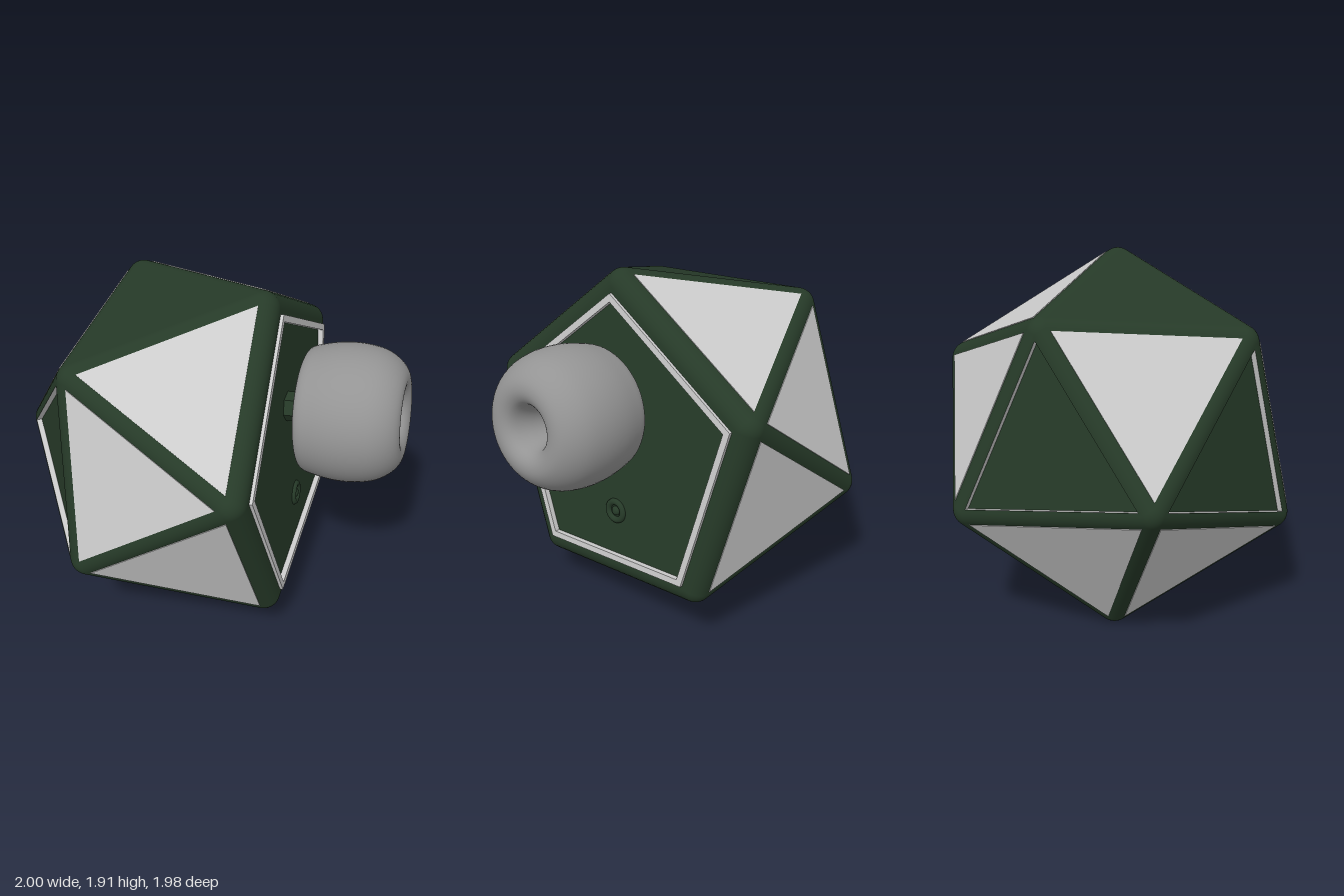
import * as THREE from 'three';

const GREEN = 0x263a28, GREY = 0xcccccc, KNOB = 0x949494;
const ROUND = 0.09, RADIUS = 0.93;           // edge rounding, corner distance
const CENTRE = new THREE.Vector3(-0.065, 0.965, 0);

const mat = (color, extra = {}) => new THREE.MeshStandardMaterial({ color, ...extra });
const mix = (a, b, t) => a.clone().lerp(b, t);
const along = (p, n, d) => p.clone().addScaledVector(n, d);

function mesh(name, geometry, material) {
  const m = new THREE.Mesh(geometry, material);
  m.name = name;
  return m;
}

// Collects triangles, turning each one to agree with its normals
class Surface {
  constructor() { this.pos = []; this.nor = []; }
  tri(a, b, c, na, nb = na, nc = na) {
    const cross = b.clone().sub(a).cross(c.clone().sub(a));
    if (cross.dot(na) < 0) [b, c, nb, nc] = [c, b, nc, nb];
    for (const p of [a, b, c]) this.pos.push(p.x, p.y, p.z);
    for (const n of [na, nb, nc]) this.nor.push(n.x, n.y, n.z);
  }
  quad(a, b, c, d, na, nb = na, nc = na, nd = na) {
    this.tri(a, b, c, na, nb, nc);
    this.tri(a, c, d, na, nc, nd);
  }
  polygon(pts, n) {
    for (let i = 1; i < pts.length - 1; i++) this.tri(pts[0], pts[i], pts[i + 1], n);
  }
  ring(outer, inner, n) {
    outer.forEach((p, i) => {
      const j = (i + 1) % outer.length;
      this.quad(p, outer[j], inner[j], inner[i], n);
    });
  }
  // side walls between two loops, facing in (sign -1) or out (sign 1)
  walls(top, bottom, sign) {
    const mid = top.reduce((s, p) => s.add(p), new THREE.Vector3()).divideScalar(top.length);
    top.forEach((p, i) => {
      const j = (i + 1) % top.length;
      const n = mix(p, top[j], 0.5).sub(mid).normalize().multiplyScalar(sign);
      this.quad(p, top[j], bottom[j], bottom[i], n);
    });
  }
  build() {
    const g = new THREE.BufferGeometry();
    g.setAttribute('position', new THREE.Float32BufferAttribute(this.pos, 3));
    g.setAttribute('normal', new THREE.Float32BufferAttribute(this.nor, 3));
    return g;
  }
}

export function createModel() {
  const model = new THREE.Group();
  model.name = 'facetedBodyWithKnob';

  // Tilted icosahedron: axis n goes through the corner that is cut off
  const n = new THREE.Vector3(0.907, 0.1, 0.408).normalize();
  const u = new THREE.Vector3(-0.1235, 0.992, 0.0295);
  u.addScaledVector(n, -u.dot(n)).normalize();
  const w = n.clone().cross(u);
  const corner = { G: n.clone().multiplyScalar(-RADIUS) };
  ['AF', 'CK', 'EJ', 'HB', 'ID'].forEach(([near, far], k) => {
    const a = k * Math.PI * 2 / 5, s = 2 / Math.sqrt(5);
    const d = n.clone().multiplyScalar(1 / Math.sqrt(5))
      .addScaledVector(u, s * Math.cos(a)).addScaledVector(w, s * Math.sin(a));
    corner[near] = d.clone().multiplyScalar(RADIUS);
    corner[far] = d.multiplyScalar(-RADIUS);
  });

  const kinds = {
    panel: ['ABC', 'CDE', 'EFH', 'HIK', 'IAJ', 'BCD', 'KIJ', 'GDF', 'GFK', 'GJB'],
    plain: ['ABJ', 'DEF', 'HKF'],
    recess: ['GBD', 'GKJ'],
    front: ['ACEHI'],
  };
  const faces = [];
  for (const [kind, list] of Object.entries(kinds)) for (const key of list) {
    const pts = [...key].map(c => corner[c]);
    const normal = pts[1].clone().sub(pts[0]).cross(pts[2].clone().sub(pts[0])).normalize();
    if (normal.dot(pts[0]) < 0) normal.negate();
    const mid = pts.reduce((s, p) => s.add(p), new THREE.Vector3()).divideScalar(pts.length);
    // outline of the face scaled about its middle and lifted by h
    const loop = (scale, h) => pts.map(p => along(mix(mid, p, scale), normal, ROUND + h));
    faces.push({ kind, key, normal, loop });
  }

  const body = new Surface(), panels = new Surface(), liners = new Surface(), rim = new Surface();

  // Flat faces, inset panels, recesses and the raised front rim
  for (const { kind, normal, loop } of faces) {
    if (kind === 'panel' || kind === 'plain') body.polygon(loop(1, 0), normal);
    if (kind === 'panel') {
      panels.polygon(loop(0.955, 0.004), normal);
      panels.walls(loop(0.955, 0.004), loop(0.955, -0.004), 1);
    }
    if (kind === 'recess') {
      body.ring(loop(1, 0), loop(0.955, 0), normal);
      body.polygon(loop(0.955, -0.03), normal);
      liners.walls(loop(0.955, 0), loop(0.955, -0.03), -1);
    }
    if (kind === 'front') {
      body.ring(loop(1, 0), loop(0.917, 0), normal);
      body.polygon(loop(0.917, -0.012), normal);
      rim.ring(loop(0.968, 0.017), loop(0.917, 0.017), normal);
      rim.walls(loop(0.968, 0.017), loop(0.968, 0), 1);
      rim.walls(loop(0.917, 0.017), loop(0.917, -0.012), -1);
    }
  }

  // Rounded edges and rounded corners
  const STEPS = 6;
  const capCentre = {};
  for (const c in corner) {
    capCentre[c] = faces.filter(f => f.key.includes(c))
      .reduce((s, f) => s.add(f.normal), new THREE.Vector3()).normalize();
  }
  faces.forEach((f, i) => faces.slice(i + 1).forEach(g => {
    const shared = [...f.key].filter(c => g.key.includes(c));
    if (shared.length !== 2) return;
    const [P, Q] = shared.map(c => corner[c]);
    for (let s = 0; s < STEPS; s++) {
      const n0 = mix(f.normal, g.normal, s / STEPS).normalize();
      const n1 = mix(f.normal, g.normal, (s + 1) / STEPS).normalize();
      body.quad(along(P, n0, ROUND), along(Q, n0, ROUND), along(Q, n1, ROUND), along(P, n1, ROUND),
        n0, n0, n1, n1);
      // sector of the ball at each end, from the edge in to the cap centre
      for (const c of shared) for (let t = 0; t < STEPS; t++) {
        const [a, b, d, e] = [[n0, t], [n1, t], [n1, t + 1], [n0, t + 1]]
          .map(([v, k]) => mix(v, capCentre[c], k / STEPS).normalize());
        const at = v => along(corner[c], v, ROUND);
        body.tri(at(a), at(b), at(d), a, b, d);
        if (t < STEPS - 1) body.tri(at(a), at(d), at(e), a, d, e);
      }
    }
  }));

  const shell = new THREE.Group();
  shell.name = 'shell';
  shell.position.copy(CENTRE);
  shell.add(
    mesh('body', body.build(), mat(GREEN)),
    mesh('trianglePanels', panels.build(), mat(GREY)),
    mesh('recessLiners', liners.build(), mat(GREY, { side: THREE.DoubleSide })),
    mesh('frontRim', rim.build(), mat(GREY, { side: THREE.DoubleSide })),
  );
  model.add(shell);

  // Fittings on the five-sided front: local y points out, z up the face
  const fittings = new THREE.Group();
  fittings.name = 'frontFittings';
  fittings.quaternion.setFromRotationMatrix(new THREE.Matrix4().makeBasis(w, n, u));
  const floor = RADIUS / Math.sqrt(5) + ROUND - 0.012;
  fittings.position.copy(along(CENTRE, n, floor));
  model.add(fittings);

  // Barrel knob with a flared hole through it
  const profile = new THREE.CatmullRomCurve3([
    [0.08, 0], [0.18, 0], [0.285, 0], [0.318, 0.02], [0.34, 0.09], [0.356, 0.19], [0.354, 0.3],
    [0.33, 0.4], [0.285, 0.47], [0.23, 0.51], [0.175, 0.515], [0.13, 0.49], [0.098, 0.42],
    [0.082, 0.32], [0.08, 0.15], [0.08, 0],
  ].map(([x, y]) => new THREE.Vector3(x, y, 0)), false, 'centripetal').getPoints(60);
  const knob = mesh('knob', new THREE.LatheGeometry(profile.map(p => new THREE.Vector2(p.x, p.y)), 64), mat(KNOB));
  knob.position.set(0, 0.1, 0.24);

  // Hollow six-sided stem behind the knob
  const hexagon = (Type, r) => new Type(Array.from({ length: 6 }, (_, i) =>
    new THREE.Vector2(r * Math.cos(i * Math.PI / 3), r * Math.sin(i * Math.PI / 3))));
  const hex = hexagon(THREE.Shape, 0.078);
  hex.holes.push(hexagon(THREE.Path, 0.045));
  const stem = mesh('stem', new THREE.ExtrudeGeometry(hex, { depth: 0.14, bevelEnabled: false })
    .rotateX(-Math.PI / 2), mat(GREEN));
  stem.position.set(0, 0, 0.24);

  // Small ringed button below the knob
  const button = new THREE.Group();
  button.name = 'button';
  button.position.set(0, 0, -0.37);
  button.add(
    mesh('buttonRing', new THREE.TorusGeometry(0.051, 0.018, 12, 40).rotateX(Math.PI / 2), mat(GREEN)),
    mesh('buttonCentre', new THREE.SphereGeometry(0.026, 24, 12).scale(1, 0.7, 1), mat(GREEN)),
  );
  fittings.add(knob, stem, button);
  return model;
}
